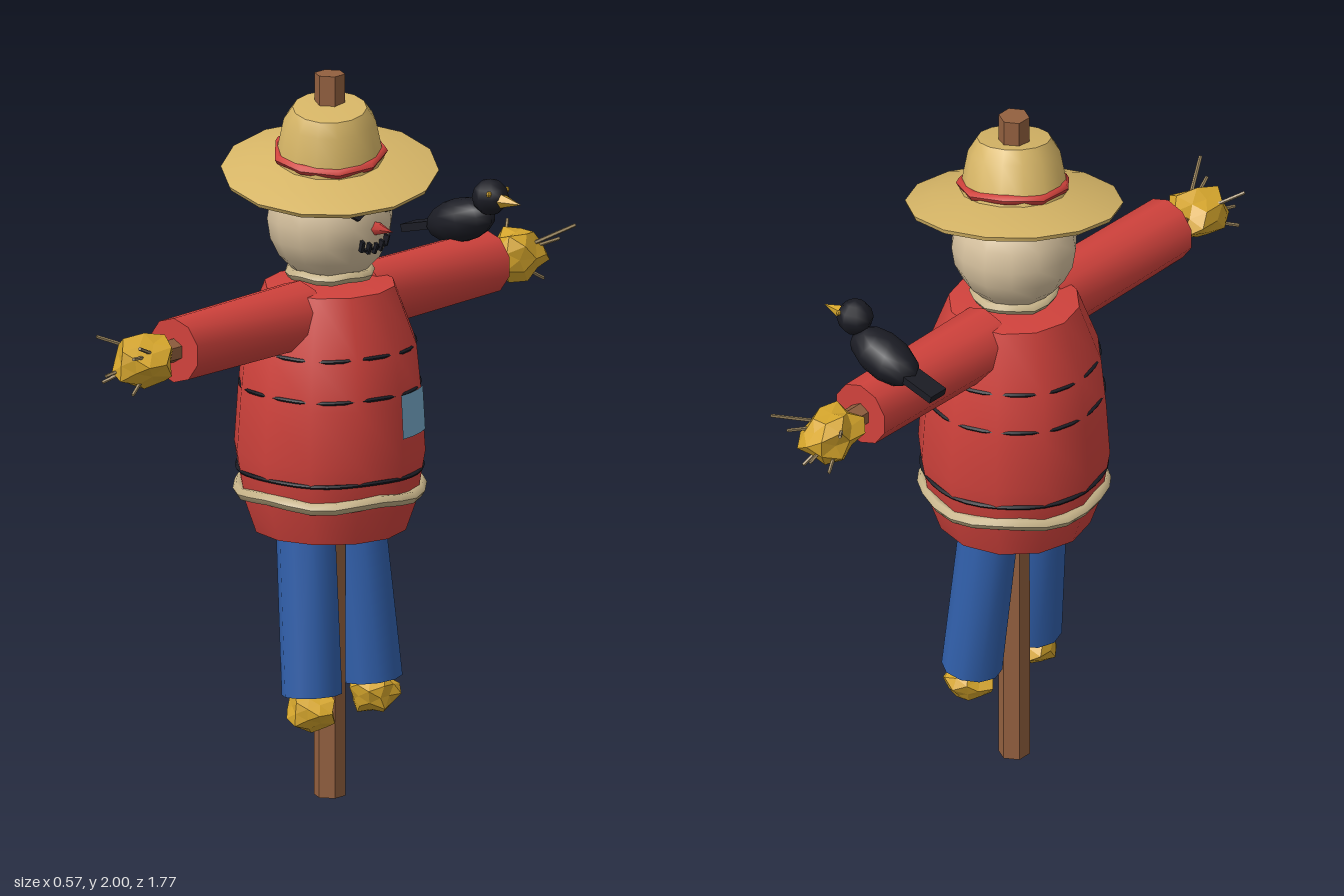
import * as THREE from 'three';
import { toCreasedNormals } from 'three/addons/utils/BufferGeometryUtils.js';

const mat = (name, color, extra = {}) => Object.assign(new THREE.MeshStandardMaterial({ color, ...extra }), { name });

export function createModel() {
  const root = new THREE.Group();
  root.name = 'scarecrow';
  const red = mat('red cloth', 0xd0423c);
  const blue = mat('blue denim', 0x3160ac);
  const wood = mat('wood', 0x93603f, { flatShading: true });
  const sack = mat('sackcloth', 0xd8c3a0);
  const hatStraw = mat('hat straw', 0xd6b566);
  const straw = mat('straw', 0xd6a62c, { flatShading: true });
  const rope = mat('rope', 0xc4b187);
  const dark = mat('black', 0x1b1c24);
  const patchBlue = mat('patch blue', 0x76a8c8, { side: THREE.DoubleSide });
  const twig = mat('dry stalk', 0xa08a62);

  const add = (name, geo, material, pos = [0, 0, 0], parent = root) => {
    const m = new THREE.Mesh(geo, material);
    m.name = name;
    m.position.set(...pos);
    parent.add(m);
    return m;
  };
  const crease = (g) => toCreasedNormals(g, 0.65);
  const lathe = (pts, seg) => crease(new THREE.LatheGeometry(pts.map((p) => new THREE.Vector2(...p)), seg));

  // Cylinder running from a to b
  const rod = (name, a, b, ra, rb, sides, material, parent = root) => {
    const A = new THREE.Vector3(...a), B = new THREE.Vector3(...b);
    const d = B.clone().sub(A);
    const m = add(name, crease(new THREE.CylinderGeometry(rb, ra, d.length(), sides)), material, [0, 0, 0], parent);
    m.position.copy(A).add(B).multiplyScalar(0.5);
    m.quaternion.setFromUnitVectors(new THREE.Vector3(0, 1, 0), d.normalize());
    return m;
  };

  // Ring lying flat, with an optional wave in height
  const ring = (name, r, tube, y, material, wave = 0, seg = 36, parent = root) => {
    const g = new THREE.TorusGeometry(r, tube, 6, seg).rotateX(Math.PI / 2);
    const p = g.attributes.position;
    for (let i = 0; i < p.count; i++) {
      p.setY(i, p.getY(i) + wave * Math.sin(5 * Math.atan2(p.getZ(i), p.getX(i))));
    }
    g.computeVertexNormals();
    return add(name, g, material, [0, y, 0], parent);
  };

  // Rough faceted clump of straw
  const clump = (name, pos, size, phase) => {
    const g = new THREE.IcosahedronGeometry(1, 1);
    const p = g.attributes.position;
    for (let i = 0; i < p.count; i++) {
      const x = p.getX(i), y = p.getY(i), z = p.getZ(i);
      const k = 0.9 + 0.14 * Math.sin(5 * x + 7 * y + 4 * z + phase);
      p.setXYZ(i, x * k * size[0], y * k * size[1], z * k * size[2]);
    }
    g.computeVertexNormals();
    return add(name, g, straw, pos);
  };

  // Pole and crossbar
  add('pole', new THREE.CylinderGeometry(0.042, 0.043, 2, 6), wood, [0, 1, 0]);
  rod('crossbar', [0, 1.355, -0.7], [0, 1.355, 0.7], 0.033, 0.033, 6, wood);

  // Shirt body
  add('shirt', lathe([[0, 0.745], [0.208, 0.745], [0.238, 0.83], [0.262, 0.97], [0.252, 1.12],
    [0.238, 1.26], [0.178, 1.42], [0, 1.435]], 12), red);
  for (const [y, r] of [[1.26, 0.229], [1.148, 0.241], [0.918, 0.249]]) ring('shirtStripe', r, 0.006, y, dark, 0.002);
  ring('ropeBelt', 0.243, 0.018, 0.86, rope, 0.007, 24);
  ring('neckRope', 0.105, 0.016, 1.455, rope, 0.004, 16);

  // Patch wrapped on the chest
  const patch = new THREE.CylinderGeometry(0.256, 0.263, 0.12, 3, 1, true, Math.PI / 2, 0.5);
  add('patch', patch, patchBlue, [0, 1.09, 0]);

  // Arms, legs and straw ends on both sides
  for (const s of [1, -1]) {
    rod('sleeve', [0, 1.355, s * 0.12], [0, 1.355, s * 0.63], 0.094, 0.089, 10, red);
    clump('strawHand', [0, 1.352, s * 0.75], [0.082, 0.078, 0.108], s * 2);
    for (const [x, y, z] of [[0.1, 0.07, 0.88], [-0.1, 0.06, 0.83], [0.03, -0.08, 0.83], [-0.03, -0.03, 0.87],
      [0.06, 0.03, 0.86], [-0.07, -0.06, 0.84]]) {
      rod('handStalk', [0, 1.355, s * 0.7], [x, 1.355 + y, s * z], 0.006, 0.005, 5, twig);
    }
    rod('trouserLeg', [-0.002, 0.8, s * 0.098], [0.044, 0.31, s * 0.122], 0.08, 0.082, 10, blue);
    clump('strawFoot', [0.045, 0.268, s * 0.125], [0.075, 0.062, 0.075], s + 1);
  }

  // Head and face
  const head = new THREE.Group();
  head.name = 'head';
  head.position.y = 1.605;
  root.add(head);
  add('headSack', new THREE.SphereGeometry(0.171, 14, 10).scale(1, 1.03, 1), sack, [0, 0, 0], head);
  const onFace = (name, geo, material, y, z, lift = 0) => {
    const n = new THREE.Vector3(Math.sqrt(0.17 ** 2 - y * y - z * z), y, z).normalize();
    const m = add(name, geo, material, [0, 0, 0], head);
    m.position.copy(n).multiplyScalar(0.17 + lift);
    m.quaternion.setFromUnitVectors(new THREE.Vector3(1, 0, 0), n);
    return m;
  };
  for (const s of [1, -1]) {
    const eye = new THREE.CylinderGeometry(0.027, 0.027, 0.018, 5).rotateZ(-Math.PI / 2).rotateX(s * 0.3);
    onFace('eye', eye, dark, 0.05, s * 0.063, 0.003);
  }
  onFace('nose', new THREE.ConeGeometry(0.023, 0.07, 5).rotateZ(-Math.PI / 2), red, -0.005, 0, 0.022);
  for (let i = -2; i <= 2; i++) {
    onFace('mouthStitch', new THREE.BoxGeometry(0.016, 0.03, 0.009), dark, -0.06 + 0.003 * i * i, i * 0.024, 0.002);
  }
  onFace('mouthSeam', new THREE.BoxGeometry(0.012, 0.005, 0.09), dark, -0.062, 0, -0.003);

  // Tilted hat
  const hat = new THREE.Group();
  hat.name = 'hat';
  hat.position.y = 1.765;
  hat.rotation.set(0.15, 0, -0.13);
  root.add(hat);
  add('strawHat', lathe([[0.125, -0.03], [0.288, -0.042], [0.293, -0.03], [0.22, -0.008], [0.146, 0.005],
    [0.124, 0.115], [0.1, 0.152], [0, 0.158]], 14), hatStraw, [0, 0, 0], hat);
  ring('hatBand', 0.142, 0.014, 0.022, red, 0.004, 9, hat);

  // Crow perched on the sleeve
  const crow = new THREE.Group();
  crow.name = 'crow';
  crow.position.set(0, 1.49, -0.53);
  root.add(crow);
  const body = add('crowBody', new THREE.SphereGeometry(1, 10, 8).scale(0.115, 0.06, 0.066), dark, [0, 0, 0], crow);
  body.rotation.z = 0.3;
  const tail = add('crowTail', new THREE.BoxGeometry(0.12, 0.022, 0.062), dark, [-0.13, -0.035, 0], crow);
  tail.rotation.z = 0.25;
  add('crowHead', new THREE.SphereGeometry(0.05, 8, 6), dark, [0.105, 0.082, 0], crow);
  add('crowBeak', new THREE.ConeGeometry(0.022, 0.075, 5).rotateZ(-Math.PI / 2), straw, [0.178, 0.078, 0], crow);
  for (const s of [1, -1]) {
    add('crowEye', new THREE.SphereGeometry(0.008, 6, 4), straw, [0.132, 0.1, s * 0.036], crow);
    rod('crowLeg', [0.01, -0.03, s * 0.025], [0.01, -0.055, s * 0.025], 0.006, 0.006, 5, dark, crow);
  }
  return root;
}
